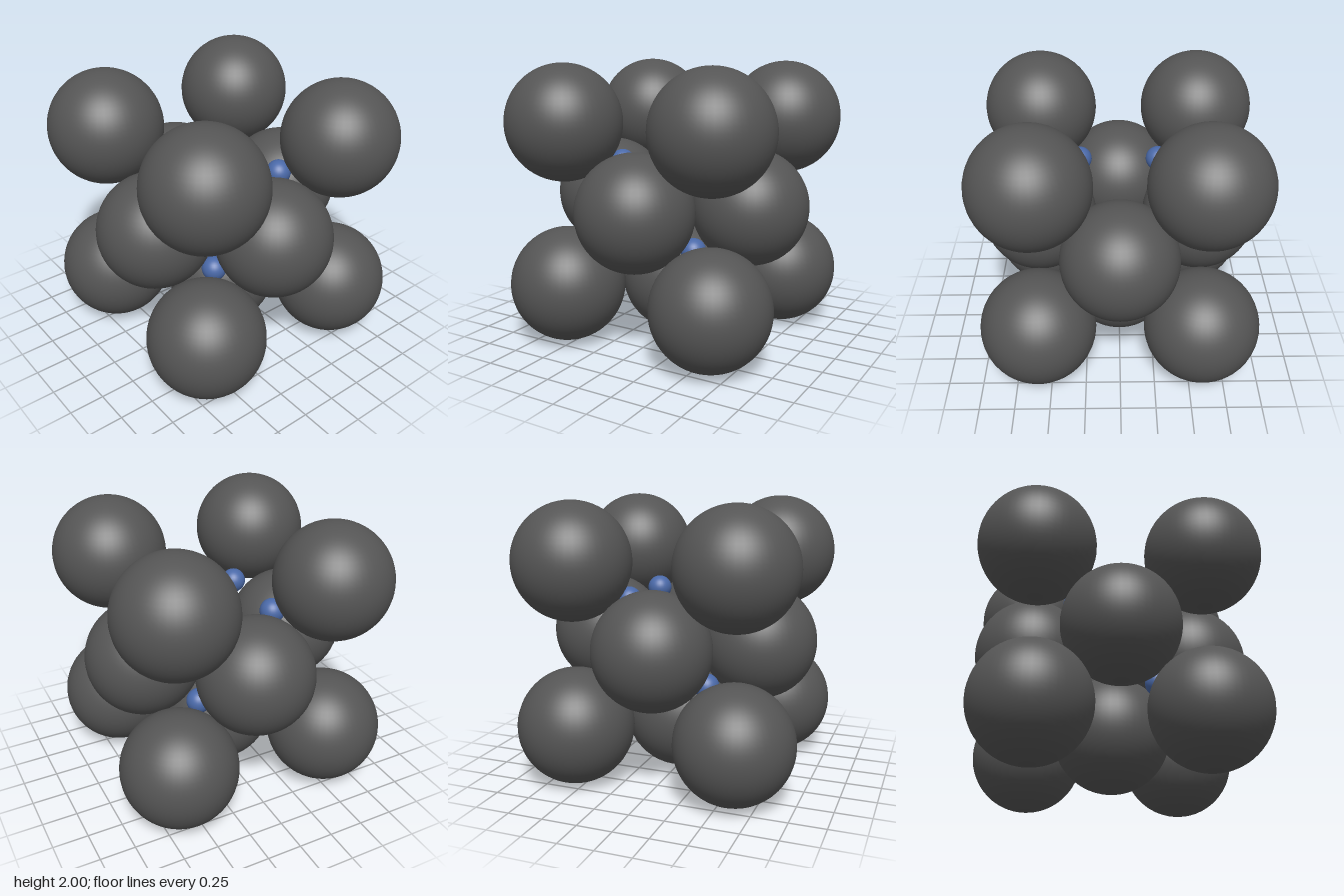
import * as THREE from 'three';

// Close-packed cubic cell: large spheres touch along the face diagonals
const R = Math.SQRT2 - 1;   // large sphere radius
const C = 1 - R;            // half the cell edge
const SMALL_R = 0.09;

export function createModel() {
  const model = new THREE.Group();
  model.name = 'crystalCell';

  const largeGeo = new THREE.SphereGeometry(R, 48, 32);
  const smallGeo = new THREE.SphereGeometry(SMALL_R, 32, 20);
  const largeMat = new THREE.MeshStandardMaterial({ color: 0x555555 });
  const smallMat = new THREE.MeshStandardMaterial({ color: 0x4a69a8 });

  const addSphere = (name, geo, mat, x, y, z) => {
    const mesh = new THREE.Mesh(geo, mat);
    mesh.name = name;
    mesh.position.set(x, y + 1, z);
    model.add(mesh);
  };

  // Eight corner spheres, each with a small sphere in the gap halfway to the centre
  for (const x of [-C, C]) {
    for (const y of [-C, C]) {
      for (const z of [-C, C]) {
        addSphere('cornerSphere', largeGeo, largeMat, x, y, z);
        addSphere('gapSphere', smallGeo, smallMat, x / 2, y / 2, z / 2);
      }
    }
  }

  // Face-centre spheres; the top face is left open
  const faces = {
    left: [C, 0, 0], right: [-C, 0, 0],
    front: [0, 0, C], back: [0, 0, -C],
    bottom: [0, -C, 0],
  };
  for (const [side, p] of Object.entries(faces)) {
    addSphere(side + 'FaceSphere', largeGeo, largeMat, ...p);
  }

  return model;
}
